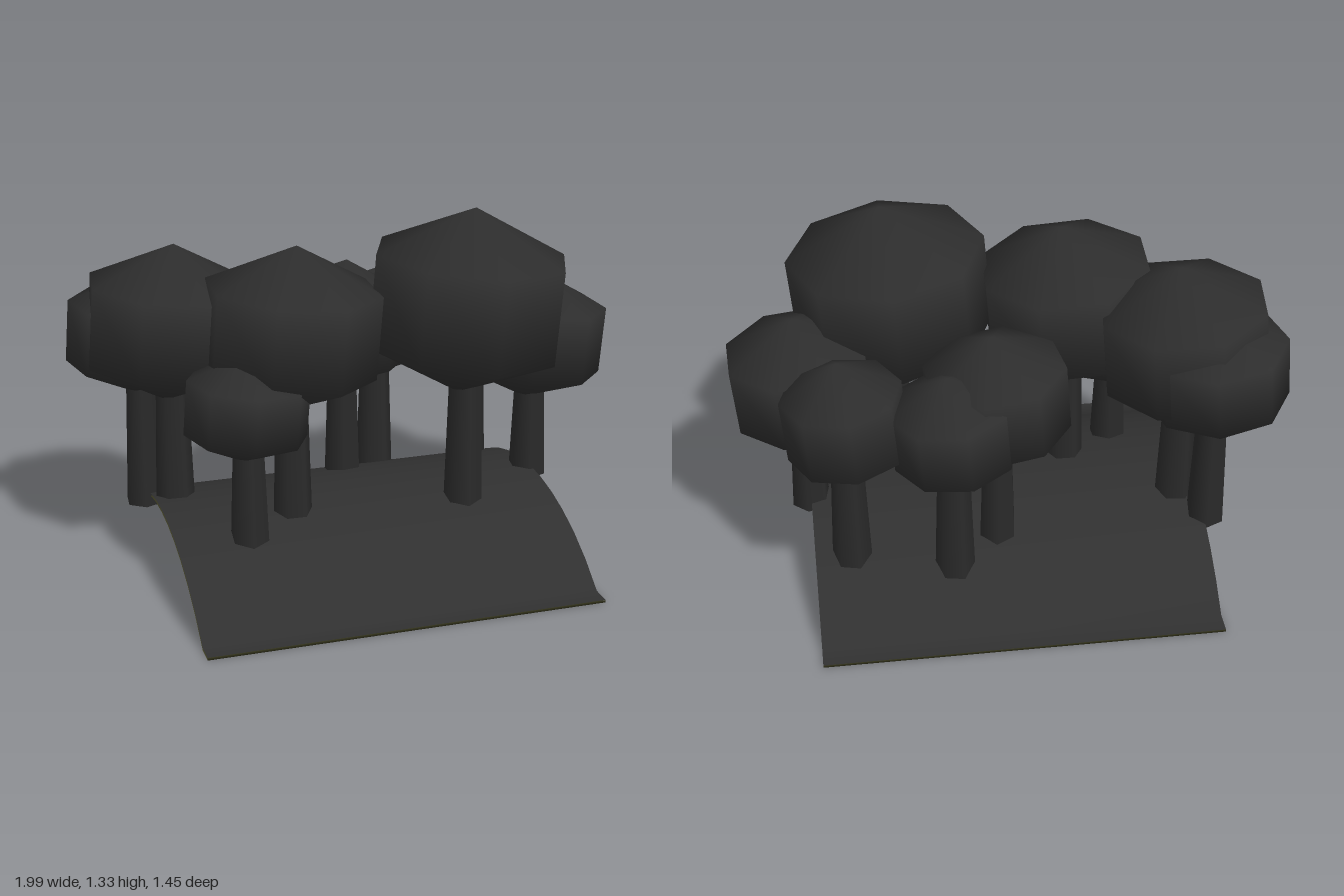
import * as THREE from 'three';

const RADIUS = 1.016, CREST = 0.245, ARCH = 0.65, EDGE = 0.725, THICK = 0.01;

// Height of the arched ground at depth z
function groundHeight(z) {
  if (Math.abs(z) >= ARCH) return THICK;
  return CREST - RADIUS + Math.sqrt(RADIUS * RADIUS - z * z);
}

// Sweeps a [z, y] profile, given from back to front, straight along x
function sheet(profile, width, material, name) {
  const geo = new THREE.PlaneGeometry(width, 1, 1, profile.length - 1);
  const pos = geo.attributes.position;
  for (let i = 0; i < pos.count; i++) {
    const [z, y] = profile[Math.floor(i / 2)];
    pos.setXYZ(i, pos.getX(i), y, z);
  }
  geo.computeVertexNormals();
  const mesh = new THREE.Mesh(geo, material);
  mesh.name = name;
  return mesh;
}

export function createModel() {
  const model = new THREE.Group();
  model.name = 'grove';
  const groundMat = new THREE.MeshStandardMaterial({ color: 0x303030, side: THREE.DoubleSide });
  const underMat = new THREE.MeshStandardMaterial({ color: 0x38381f, side: THREE.DoubleSide });
  const leafMat = new THREE.MeshStandardMaterial({ color: 0x2e2e2e });
  const trunkMat = new THREE.MeshStandardMaterial({ color: 0x2a2a2a });

  // Ground: an arch with a narrow flat lip at front and back
  const top = [[-EDGE, THICK]];
  const steps = 12;
  for (let i = 0; i <= steps; i++) {
    const z = -ARCH + (2 * ARCH * i) / steps;
    top.push([z, groundHeight(z)]);
  }
  top.push([EDGE, THICK]);
  const under = top.map(([z, y]) => [z, y - THICK]);
  under.unshift([-EDGE, THICK - 0.001]);
  under.push([EDGE, THICK - 0.001]);
  model.add(sheet(top, 1.45, groundMat, 'groundTop'));
  model.add(sheet(under, 1.45, underMat, 'groundUnderside'));

  // Trees: x, z, crown centre height, crown half height, crown ring radius
  const trees = [
    [0.385, 0.17, 0.99, 0.345, 0.36],
    [-0.26, 0.12, 0.93, 0.305, 0.32],
    [-0.455, 0.25, 0.70, 0.20, 0.22],
    [-0.64, -0.155, 0.905, 0.295, 0.31],
    [-0.735, -0.27, 0.84, 0.23, 0.26],
    [0.22, -0.40, 0.755, 0.22, 0.22],
    [0.05, -0.28, 0.80, 0.25, 0.255],
    [0.59, -0.33, 0.78, 0.24, 0.215],
    [0.725, -0.03, 0.77, 0.25, 0.27],
  ];

  trees.forEach(([x, z, crownY, halfHeight, ring], i) => {
    const tree = new THREE.Group();
    tree.name = 'tree' + (i + 1);
    tree.position.set(x, 0, z);

    // Crown: a coarse ball of three bands, leaning slightly to its side
    const crown = new THREE.Mesh(new THREE.SphereGeometry(1, 8, 3), leafMat);
    crown.name = 'crown';
    const spread = ring / Math.sin(Math.PI / 3);
    crown.scale.set(spread, halfHeight, spread);
    crown.position.y = crownY;
    crown.rotation.set(0, i * 0.35, -0.08, 'ZXY');
    tree.add(crown);

    // Trunk: tapered, sunk a little into the ground
    const base = groundHeight(z) - 0.037;
    const height = crownY - base;
    const trunk = new THREE.Mesh(new THREE.CylinderGeometry(0.052, 0.073, height, 6), trunkMat);
    trunk.name = 'trunk';
    trunk.position.y = base + height / 2;
    trunk.rotation.y = i * 0.5;
    tree.add(trunk);

    model.add(tree);
  });
  return model;
}
